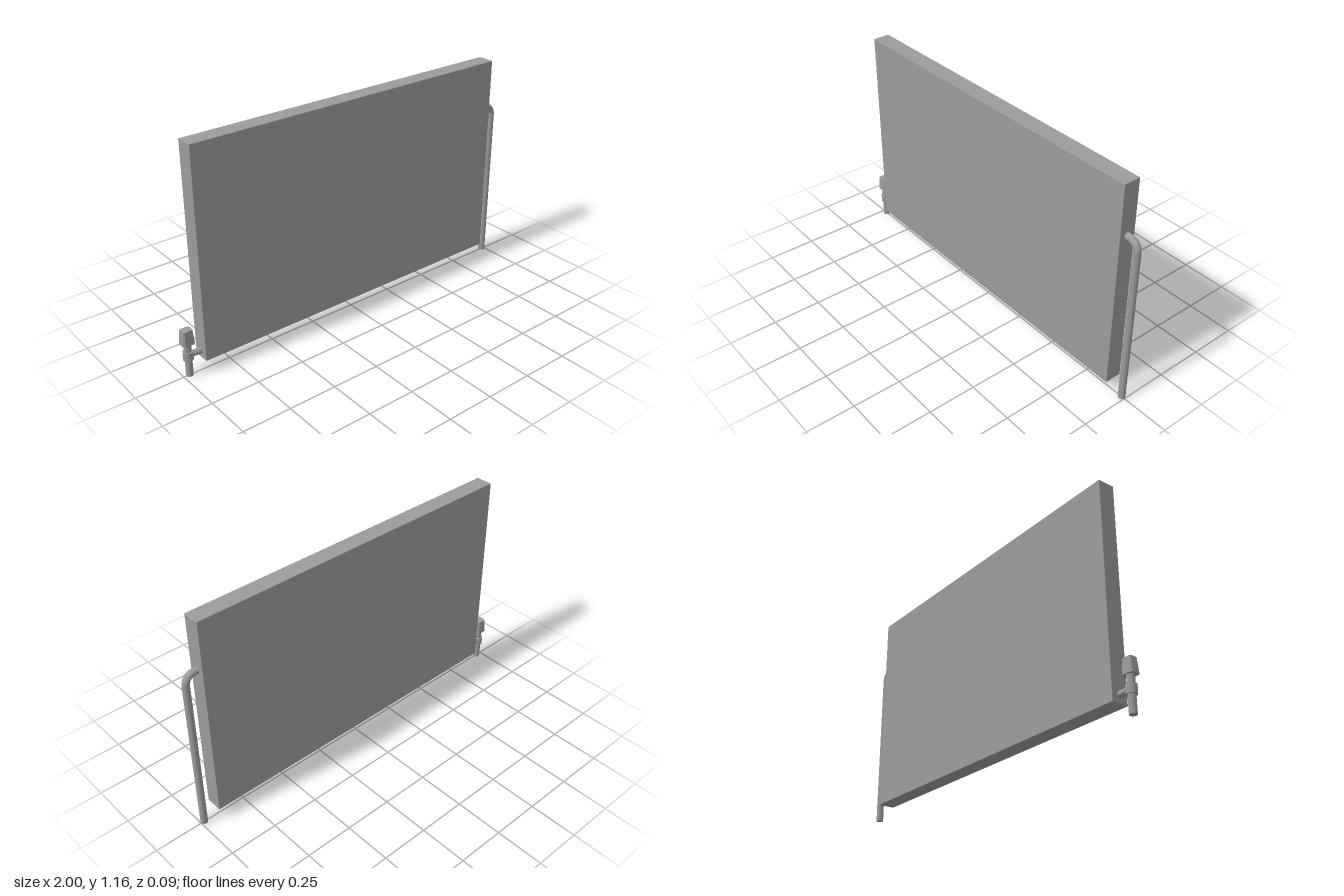
import * as THREE from 'three';
import { RoundedBoxGeometry } from 'three/addons/geometries/RoundedBoxGeometry.js';

const grey = new THREE.MeshStandardMaterial({ color: 0x9b9b9b });
const faceted = new THREE.MeshStandardMaterial({ color: 0x9b9b9b, flatShading: true });

function add(group, name, geometry, x, y, material = grey) {
  const mesh = new THREE.Mesh(geometry, material);
  mesh.name = name;
  mesh.position.set(x, y, 0);
  group.add(mesh);
  return mesh;
}

// Tapered block with narrow chamfers on its vertical corners
function chamferedBlock(top, bottom, height, depthRatio, flat) {
  const geometry = new THREE.CylinderGeometry(1, 1, height, 8, 1, false, Math.PI / 8);
  const p = geometry.attributes.position;
  const snap = (v) => Math.sign(v) * (Math.abs(v) < 0.01 ? 0 : Math.abs(v) > 0.7 ? 1 : flat);
  for (let i = 0; i < p.count; i++) {
    const half = p.getY(i) > 0 ? top : bottom;
    p.setX(i, snap(p.getX(i)) * half);
    p.setZ(i, snap(p.getZ(i)) * half * depthRatio);
  }
  geometry.computeVertexNormals();
  return geometry;
}

export function createModel() {
  const model = new THREE.Group();
  model.name = 'radiator';

  // Flat heating panel with finely eased edges
  add(model, 'panel', new RoundedBoxGeometry(1.82, 1.09, 0.089, 2, 0.003), 0.009, 0.614);

  // Supply pipe: straight riser, quarter bend, short run into the panel
  const r = 0.018, pipeX = 0.982, pipeY = 0.887, bend = 0.05;
  const pipe = new THREE.Group();
  pipe.name = 'supplyPipe';
  model.add(pipe);
  const riser = pipeY - bend;
  add(pipe, 'riser', new THREE.CylinderGeometry(r, r, riser, 24), pipeX, riser / 2);
  add(pipe, 'elbow', new THREE.TorusGeometry(bend, r, 20, 16, Math.PI / 2), pipeX - bend, riser);
  const run = pipeX - bend - 0.91;
  add(pipe, 'inlet', new THREE.CylinderGeometry(r, r, run, 24), 0.91 + run / 2, pipeY)
    .rotation.z = Math.PI / 2;

  // Valve on the opposite lower corner
  const valve = new THREE.Group();
  valve.name = 'valve';
  valve.position.x = -0.969;
  model.add(valve);
  add(valve, 'valvePipe', new THREE.CylinderGeometry(r, r, 0.19, 24), 0, 0.095);
  add(valve, 'valveCollar', new THREE.CylinderGeometry(0.025, 0.025, 0.045, 24), 0, 0.11);
  add(valve, 'valveOutlet', new THREE.CylinderGeometry(0.016, 0.016, 0.075, 24), 0.035, 0.11)
    .rotation.z = Math.PI / 2;
  add(valve, 'valveKnob', chamferedBlock(0.025, 0.031, 0.076, 0.85, 0.75), 0, 0.212, faceted);

  return model;
}
